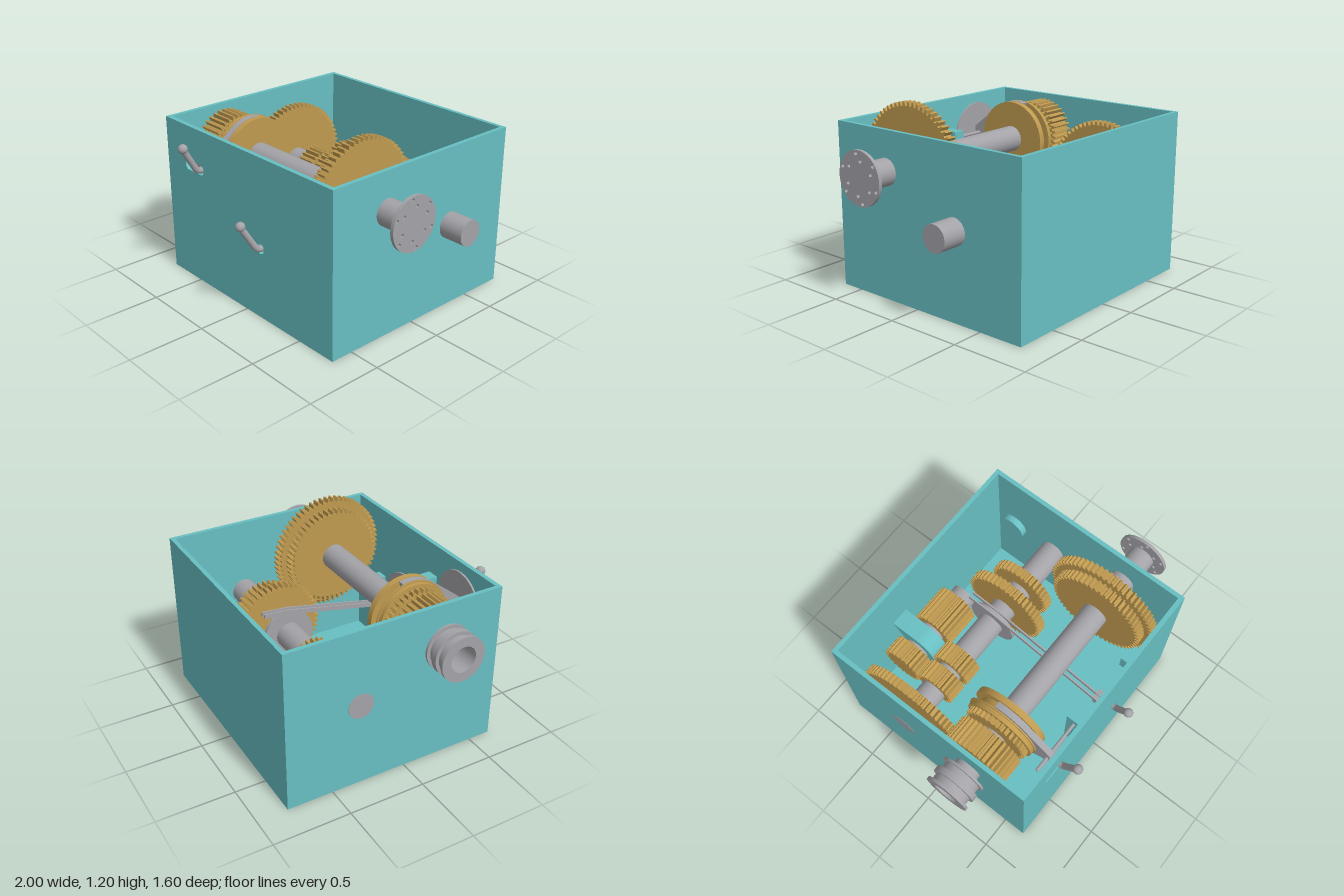
import * as THREE from 'three';
import { toCreasedNormals } from 'three/addons/utils/BufferGeometryUtils.js';

const mat = (name, color) => Object.assign(new THREE.MeshStandardMaterial({ color }), { name });

export function createModel() {
  const model = new THREE.Group();
  model.name = 'gearbox';
  const teal = mat('housing teal', 0x68bfc2);
  const steel = mat('steel grey', 0xa3a3a8);
  const brass = mat('gear brass', 0xbf9a50);

  const add = (name, geo, material) => {
    const mesh = new THREE.Mesh(geo, material);
    mesh.name = name;
    model.add(mesh);
    return mesh;
  };
  // box given by its two opposite corners
  const box = (name, m, x0, x1, y0, y1, z0, z1) =>
    add(name, new THREE.BoxGeometry(x1 - x0, y1 - y0, z1 - z0)
      .translate((x0 + x1) / 2, (y0 + y1) / 2, (z0 + z1) / 2), m);
  // cylinder lying along x
  const rodX = (name, m, x0, x1, y, z, r, seg = 40) =>
    add(name, new THREE.CylinderGeometry(r, r, x1 - x0, seg)
      .rotateZ(Math.PI / 2).translate((x0 + x1) / 2, y, z), m);
  // outline drawn in (z, y), thickened from x0 to x1
  const plateX = (name, m, shape, x0, x1, y = 0, z = 0) =>
    add(name, toCreasedNormals(new THREE.ExtrudeGeometry(shape,
      { depth: x1 - x0, bevelEnabled: false, curveSegments: 32 })
      .rotateY(-Math.PI / 2).translate(x1, y, z), 0.5), m);
  // profile of [radius, distance towards -x] turned about an x axis
  const turned = (name, m, pts, y, z) =>
    add(name, toCreasedNormals(new THREE.LatheGeometry(
      pts.map(p => new THREE.Vector2(...p)), 48).rotateZ(Math.PI / 2).translate(0, y, z), 0.5), m);
  const circle = (x, y, r) => new THREE.Path().absarc(x, y, r, 0, Math.PI * 2, true);

  // shaft positions as [y, z]
  const MAIN = [0.815, 0.235], COUNTER = [0.56, -0.31], IDLER = [0.53, -0.585];

  // spur gear with straight tapered teeth
  const gear = (name, x0, x1, [y, z], r) => {
    const n = Math.round(r * 164), step = Math.PI * 2 / n, root = r - 0.026;
    const pts = [];
    for (let i = 0; i < n; i++) {
      for (const [f, q] of [[-0.3, root], [-0.14, r], [0.14, r], [0.3, root]]) {
        const a = Math.PI / 2 + (i + f) * step;
        pts.push(new THREE.Vector2(Math.cos(a) * q, Math.sin(a) * q));
      }
    }
    return plateX(name, brass, new THREE.Shape(pts), x0, x1, y, z);
  };

  // open-topped housing
  box('floor', teal, -0.79, 0.79, 0, 0.03, -0.8, 0.65);
  box('backWall', teal, -0.79, 0.79, 0.03, 1.07, -0.8, -0.773);
  for (const s of [-1, 1]) {
    const a = s * 0.79, b = s * 0.762;
    box('sideWall', teal, Math.min(a, b), Math.max(a, b), 0.03, 1.07, -0.773, 0.62);
    rodX('wallBoss', teal, Math.min(b, s * 0.718), Math.max(b, s * 0.718), 0.56, -0.637, 0.093);
  }

  // front wall with the lever slot and the lever hole
  const front = new THREE.Shape([[-0.79, 0.03], [0.79, 0.03], [0.79, 1.07], [-0.79, 1.07]]
    .map(p => new THREE.Vector2(...p)));
  const slot = new THREE.Path();
  slot.absarc(-0.56, 0.805, 0.035, Math.PI * 1.5, Math.PI / 2, true);
  slot.absarc(-0.435, 0.805, 0.035, Math.PI / 2, -Math.PI / 2, true);
  slot.closePath();
  front.holes.push(slot, circle(0.15, 0.48, 0.035));
  add('frontWall', new THREE.ExtrudeGeometry(front, { depth: 0.03, bevelEnabled: false })
    .translate(0, 0, 0.62), teal);

  // shafts
  rodX('mainShaft', steel, -0.84, 0.98, ...MAIN, 0.085);
  rodX('counterShaft', steel, -0.792, 0.955, ...COUNTER, 0.085);
  rodX('idlerShaft', steel, -0.45, 0.15, ...IDLER, 0.085);

  // output flange with two rings of bolt holes
  const flange = new THREE.Shape().absarc(0, 0, 0.17, 0, Math.PI * 2);
  for (const [r, start] of [[0.15, 22], [0.106, 38]]) {
    for (let i = 0; i < 6; i++) {
      const a = THREE.MathUtils.degToRad(start + i * 60);
      flange.holes.push(circle(r * Math.cos(a), r * Math.sin(a), 0.012));
    }
  }
  plateX('outputFlange', steel, flange, 0.978, 1, ...MAIN);

  // grooved, hollow input coupling
  turned('inputCoupling', steel, [[0.085, 0.79], [0.085, 0.835], [0.148, 0.835], [0.148, 0.85],
    [0.125, 0.85], [0.125, 0.895], [0.148, 0.895], [0.148, 0.935], [0.125, 0.935],
    [0.125, 0.982], [0.148, 0.982], [0.148, 1], [0.085, 1], [0.085, 0.86], [0, 0.86]], ...MAIN);

  // gears on the main shaft
  gear('inputGear', -0.745, -0.575, MAIN, 0.222);
  gear('clutchGear', -0.54, -0.5, MAIN, 0.222);
  gear('smallSlidingGear', 0.47, 0.535, MAIN, 0.33);
  gear('largeSlidingGear', 0.535, 0.595, MAIN, 0.39);
  turned('synchroSleeve', brass, [[0, 0.37], [0.25, 0.37], [0.25, 0.41], [0.2, 0.41], [0.2, 0.46],
    [0.25, 0.46], [0.25, 0.47], [0.24, 0.47], [0.24, 0.5], [0, 0.5]], ...MAIN);

  // gears on the counter shaft
  gear('counterDriveGear', -0.7, -0.64, COUNTER, 0.4);
  gear('counterReverseGear', -0.49, -0.36, COUNTER, 0.138);
  gear('counterLowGear', -0.33, -0.2, COUNTER, 0.14);
  gear('counterSecondGear', 0.23, 0.295, COUNTER, 0.288);
  gear('counterFirstGear', 0.39, 0.455, COUNTER, 0.222);

  // idler gears and their rounded bracket on the back wall
  gear('idlerGear', -0.49, -0.36, IDLER, 0.142);
  gear('idlerLongGear', -0.18, 0.075, IDLER, 0.145);
  const bracket = new THREE.Shape();
  bracket.moveTo(-0.19, -0.14);
  bracket.absarc(0, 0, 0.14, -Math.PI / 2, Math.PI / 2);
  bracket.lineTo(-0.19, 0.14);
  bracket.closePath();
  plateX('idlerBracket', teal, bracket, -0.335, -0.21, ...IDLER);

  // synchro fork: half ring in the sleeve groove and an arm to its rod
  const fork = new THREE.Shape();
  fork.absarc(0, 0, 0.25, Math.PI * 0.58, Math.PI * 0.25);
  fork.curves.length = 0;
  fork.absarc(0, 0, 0.25, Math.PI * 0.58, Math.PI * 0.3, true);
  fork.lineTo(0.37, 0.03);
  fork.lineTo(0.37, -0.04);
  fork.absarc(0, 0, 0.25, -Math.PI * 0.3, -Math.PI * 0.58, true);
  fork.absarc(0, 0, 0.205, -Math.PI * 0.58, Math.PI * 0.58);
  plateX('synchroFork', steel, fork, -0.455, -0.415, ...MAIN);

  // counter shaft fork: ring with a pair of long thin bars
  const ring = new THREE.Shape().absarc(0, 0, 0.17, 0, Math.PI * 2);
  ring.holes.push(circle(0, 0, 0.086));
  plateX('counterForkRing', steel, ring, 0.097, 0.122, ...COUNTER);
  const bar = new THREE.Shape([[-0.48, 0.73], [-0.48, 0.76], [-0.3, 0.745], [0.6, 0.56], [0.6, 0.53], [-0.3, 0.715]]
    .map(p => new THREE.Vector2(...p)));
  for (const x of [0.085, 0.122]) plateX('counterForkBar', steel, bar, x, x + 0.01);
  box('counterForkFoot', steel, 0.095, 0.165, 0.47, 0.56, 0.52, 0.605);

  // selector rods, their supports and cover discs inside the front wall
  rodX('selectorRod', steel, -0.555, -0.1, 0.805, 0.565, 0.011, 16);
  rodX('selectorRod', steel, -0.12, 0.42, 0.52, 0.565, 0.011, 16);
  box('rodSupport', teal, -0.19, -0.105, 0.46, 0.86, 0.51, 0.621);
  box('rodSupport', teal, 0.41, 0.49, 0.46, 0.58, 0.51, 0.621);
  for (const [x, y, r] of [[-0.435, 0.805, 0.205], [0.152, 0.48, 0.233]]) {
    add('coverDisc', new THREE.CylinderGeometry(r, r, 0.012, 48)
      .rotateX(Math.PI / 2).translate(x, y, 0.611), steel);
  }

  // bent shift levers with ball knobs
  for (const [x, y, lean] of [[-0.435, 0.805, 0], [0.15, 0.48, -0.03]]) {
    const path = new THREE.CurvePath();
    const v = (t, dy, z) => new THREE.Vector3(x + lean * t, y + dy, z);
    path.add(new THREE.LineCurve3(v(0, 0, 0.58), v(0, 0, 0.645)));
    path.add(new THREE.QuadraticBezierCurve3(v(0, 0, 0.645), v(0, 0, 0.672), v(0.15, 0.025, 0.687)));
    path.add(new THREE.LineCurve3(v(0.15, 0.025, 0.687), v(1, 0.17, 0.77)));
    add('shiftLever', new THREE.TubeGeometry(path, 32, 0.021, 14), steel);
    add('leverKnob', new THREE.SphereGeometry(0.031, 20, 14)
      .translate(x + lean, y + 0.172, 0.769), steel);
  }
  return model;
}
